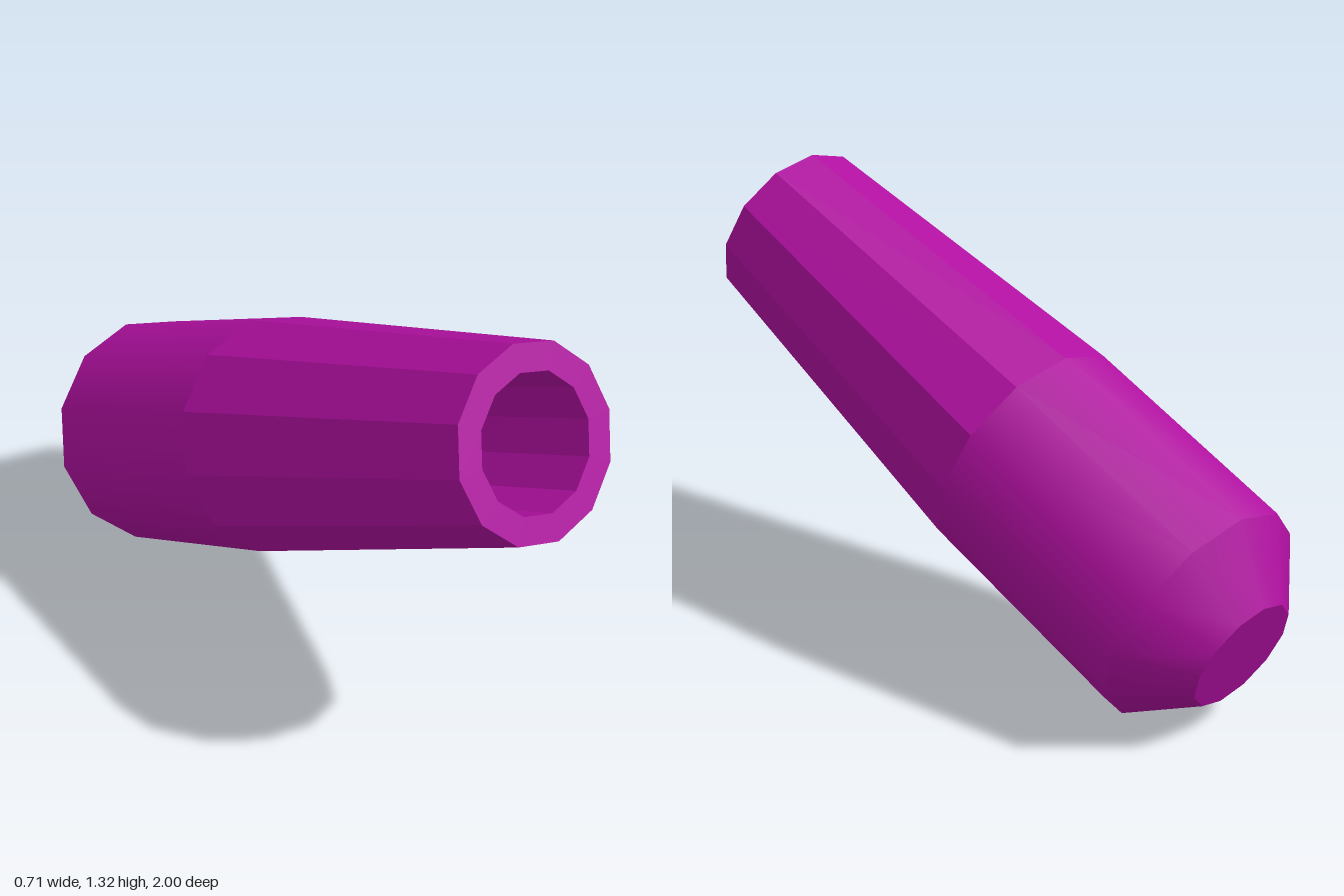
import * as THREE from 'three';

const SIDES = 12;
const LENGTH = 2.003;

export function createModel() {
  const model = new THREE.Group();
  model.name = 'taperedGrip';

  const make = (flatShading) =>
    new THREE.MeshStandardMaterial({ color: 0xb010a0, flatShading });
  const flat = make(true);
  const smooth = make(false);

  // Lean of the grip: its long axis rises to the front, with sections nearly square to it
  const lean = new THREE.Matrix4()
    .makeBasis(
      new THREE.Vector3(1, 0, 0),
      new THREE.Vector3(0, 0.407, 0.9135),
      new THREE.Vector3(0, -0.926, 0.377)
    )
    .setPosition(0, 0.267, -0.9325);

  // One turned section per [name, radius, station, radius, station, material],
  // listed along the profile from the back cap, over the outside, into the bore
  const sections = [
    ['backCap', 0, 0, 0.178, 0, flat],
    ['backBevel', 0.178, 0, 0.353, 0.17, smooth],
    ['straightBody', 0.353, 0.17, 0.353, 0.874, smooth],
    ['taperedBody', 0.353, 0.874, 0.268, LENGTH, flat],
    ['frontRim', 0.268, LENGTH, 0.19, LENGTH, flat],
    ['boreWall', 0.19, LENGTH, 0.19, 0.2, flat],
    ['boreFloor', 0.19, 0.2, 0, 0.2, flat],
  ];

  for (const [name, r0, s0, r1, s1, material] of sections) {
    const profile = [new THREE.Vector2(r0, s0), new THREE.Vector2(r1, s1)];
    const geometry = new THREE.LatheGeometry(profile, SIDES).applyMatrix4(lean);
    const mesh = new THREE.Mesh(geometry, material);
    mesh.name = name;
    model.add(mesh);
  }

  return model;
}
